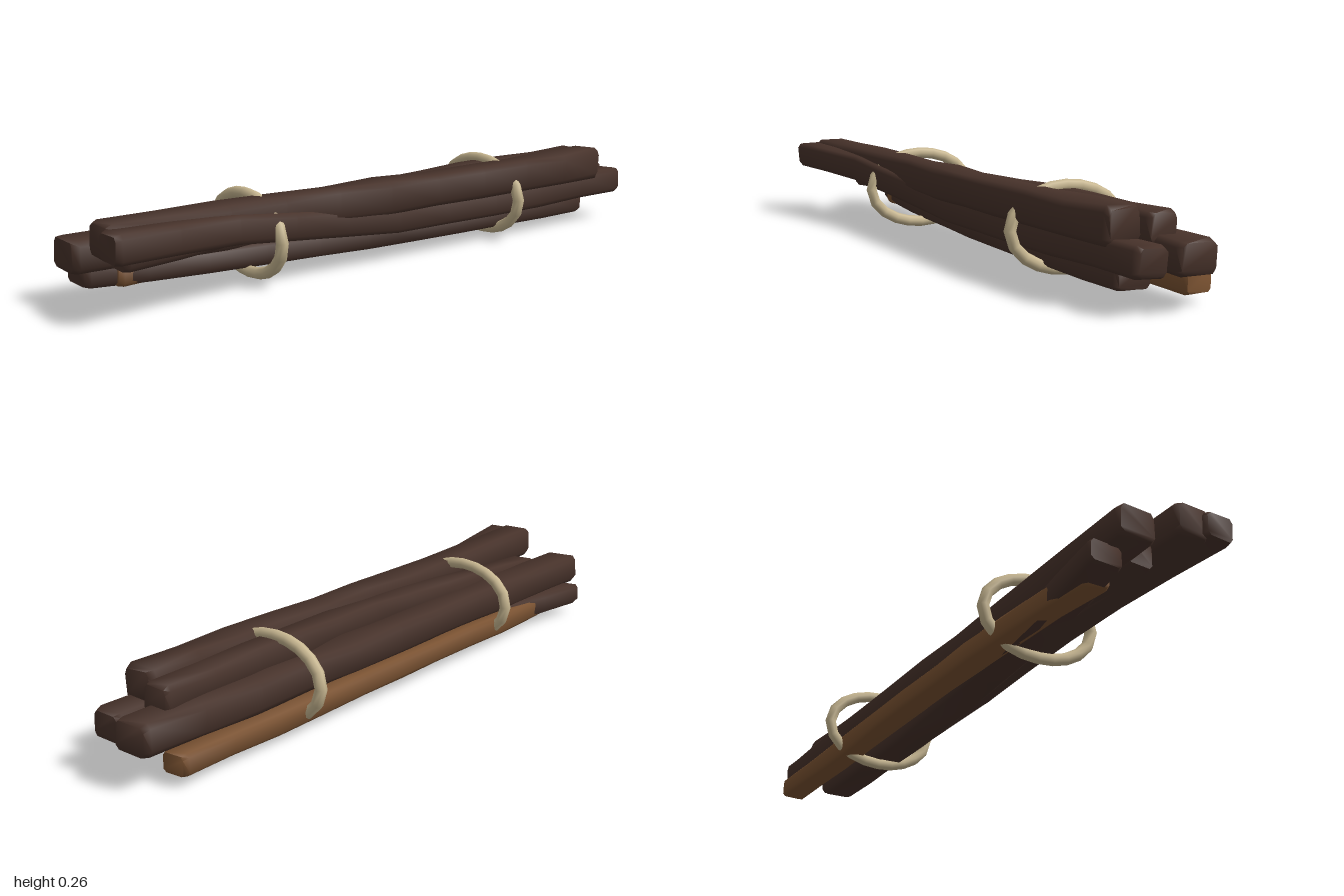
import * as THREE from 'three';
import { toCreasedNormals } from 'three/addons/utils/BufferGeometryUtils.js';

// Small seeded generator for the knobbly bark
function seeded(seed) {
  let s = seed * 7919 + 17;
  return () => {
    s = (s * 16807) % 2147483647;
    return s / 2147483647;
  };
}

// Softly chamfered square cross-section, anticlockwise seen from the front
const SECTION = [
  [1, -0.68], [1, 0.68], [0.78, 1], [-0.78, 1],
  [-1, 0.68], [-1, -0.68], [-0.78, -1], [0.78, -1],
];

// A stick is lofted along a centre line running from the front end to the back end
function stickGeometry({ path, width, height, seed }) {
  const random = seeded(seed);
  const curve = new THREE.CatmullRomCurve3(path.map((p) => new THREE.Vector3(...p)));
  const n = SECTION.length;
  const steps = [0, 0.01, 0.1, 0.2, 0.3, 0.4, 0.5, 0.6, 0.7, 0.8, 0.9, 0.99, 1];
  const positions = [];
  const index = [];

  steps.forEach((t, i) => {
    const c = curve.getPointAt(t);
    const end = i === 0 || i === steps.length - 1;
    const swell = end ? 0.87 : 0.95 + random() * 0.08;
    const twist = (random() - 0.5) * 0.16;
    for (const [sx, sy] of SECTION) {
      const k = swell * (0.96 + random() * 0.08);
      const x = sx * k * width / 2;
      const y = sy * k * height / 2;
      positions.push(
        c.x + x * Math.cos(twist) - y * Math.sin(twist),
        c.y + x * Math.sin(twist) + y * Math.cos(twist),
        c.z,
      );
    }
  });

  // Long sides
  for (let i = 0; i < steps.length - 1; i++) {
    for (let j = 0; j < n; j++) {
      const a = i * n + j;
      const b = i * n + (j + 1) % n;
      index.push(a, a + n, b, b, a + n, b + n);
    }
  }
  // Sawn ends
  const last = (steps.length - 1) * n;
  for (let j = 1; j < n - 1; j++) {
    index.push(0, j, j + 1);
    index.push(last, last + j + 1, last + j);
  }

  const geometry = new THREE.BufferGeometry();
  geometry.setAttribute('position', new THREE.Float32BufferAttribute(positions, 3));
  geometry.setIndex(index);
  return toCreasedNormals(geometry, 1.25);
}

// Slightly tilted oval loop of cord
function cordGeometry(z) {
  const points = [];
  for (let i = 0; i < 16; i++) {
    const a = (i / 16) * Math.PI * 2;
    points.push(new THREE.Vector3(
      -0.021 + 0.172 * Math.cos(a),
      0.131 + 0.113 * Math.sin(a),
      z + 0.01 * Math.cos(a - 0.7),
    ));
  }
  const loop = new THREE.CatmullRomCurve3(points, true);
  return new THREE.TubeGeometry(loop, 20, 0.0175, 8, true);
}

export function createModel() {
  const darkBark = new THREE.MeshStandardMaterial({ color: 0x47322a });
  darkBark.name = 'darkBark';
  const paleBark = new THREE.MeshStandardMaterial({ color: 0x7a5231 });
  paleBark.name = 'paleBark';
  const cord = new THREE.MeshStandardMaterial({ color: 0xc8b791 });
  cord.name = 'cord';

  const sticks = [
    {
      name: 'topLeftStick', material: darkBark, width: 0.102, height: 0.096, seed: 1,
      path: [[0.09, 0.203, 0.98], [0.074, 0.2, 0.5], [0.08, 0.198, 0], [0.088, 0.2, -0.55], [0.072, 0.2, -0.86]],
    },
    {
      name: 'topRightStick', material: darkBark, width: 0.085, height: 0.085, seed: 2,
      path: [[-0.003, 0.133, 0.88], [-0.01, 0.165, 0.45], [0.005, 0.185, 0], [-0.012, 0.195, -0.45], [-0.022, 0.192, -0.89]],
    },
    {
      name: 'middleLeftStick', material: darkBark, width: 0.092, height: 0.08, seed: 3,
      path: [[0.163, 0.2, 0.995], [0.133, 0.195, 0.75], [0.1, 0.175, 0.48], [0.076, 0.142, 0.2],
        [0.071, 0.125, -0.05], [0.072, 0.124, -0.5], [0.07, 0.13, -0.975]],
    },
    {
      name: 'middleRightStick', material: darkBark, width: 0.115, height: 0.09, seed: 4,
      path: [[-0.094, 0.135, 0.985], [-0.078, 0.134, 0.5], [-0.072, 0.133, 0], [-0.064, 0.134, -0.5], [-0.045, 0.135, -1]],
    },
    {
      name: 'bottomLeftStick', material: darkBark, width: 0.106, height: 0.066, seed: 5,
      path: [[-0.146, 0.065, 0.925], [-0.115, 0.063, 0.76], [-0.075, 0.062, 0.5], [-0.018, 0.062, 0],
        [0.01, 0.062, -0.45], [0.02, 0.063, -0.83]],
    },
    {
      name: 'bottomRightStick', material: paleBark, width: 0.08, height: 0.062, seed: 6,
      path: [[-0.107, 0.058, 0.84], [-0.124, 0.058, 0.65], [-0.125, 0.061, 0.35], [-0.122, 0.062, 0],
        [-0.113, 0.058, -0.5], [-0.108, 0.056, -0.92]],
    },
  ];

  const model = new THREE.Group();
  model.name = 'stickBundle';

  for (const stick of sticks) {
    const mesh = new THREE.Mesh(stickGeometry(stick), stick.material);
    mesh.name = stick.name;
    model.add(mesh);
  }

  // Two cords tie the bundle
  for (const [name, z] of [['frontCord', 0.46], ['backCord', -0.45]]) {
    const mesh = new THREE.Mesh(cordGeometry(z), cord);
    mesh.name = name;
    model.add(mesh);
  }
  return model;
}
